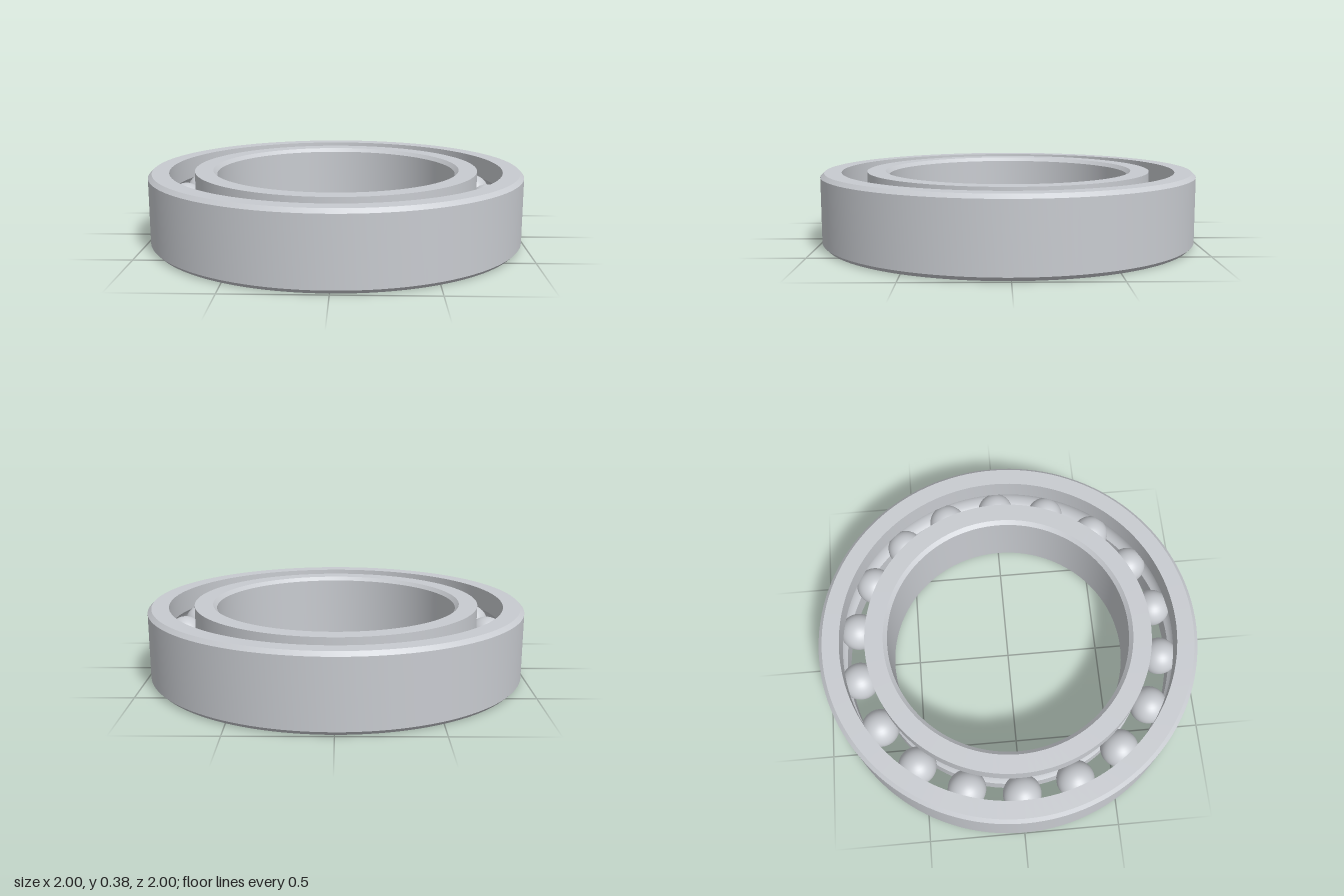
import * as THREE from 'three';
import { toCreasedNormals } from 'three/addons/utils/BufferGeometryUtils.js';

const HEIGHT = 0.385, MID = HEIGHT / 2, CHAMFER = 0.02;
const BORE = 0.64, INNER_LAND = 0.757, OUTER_LAND = 0.89;
const PITCH = (INNER_LAND + OUTER_LAND) / 2, BALL = 0.1, BALLS = 18;

// Ball groove arc, centred on the pitch circle, running upwards or downwards
function groove(landRadius, upwards) {
  const side = Math.sign(landRadius - PITCH);
  const half = Math.acos(Math.abs(landRadius - PITCH) / BALL);
  const points = [];
  for (let i = 0; i <= 10; i++) {
    const a = half * (i / 5 - 1) * (upwards ? 1 : -1);
    points.push([PITCH + side * BALL * Math.cos(a), MID + BALL * Math.sin(a)]);
  }
  return points;
}

// Revolves a closed, counterclockwise (radius, height) profile
function ring(name, profile, material) {
  const points = [...profile, profile[0]].map(([r, y]) => new THREE.Vector2(r, y));
  const geometry = toCreasedNormals(new THREE.LatheGeometry(points, 128), 0.5);
  const mesh = new THREE.Mesh(geometry, material);
  mesh.name = name;
  return mesh;
}

export function createModel() {
  const model = new THREE.Group();
  model.name = 'ballBearing';
  const steel = new THREE.MeshStandardMaterial({ color: 0xc8cbd0 });
  steel.name = 'steel';

  // Outer ring: chamfered outside, grooved inside
  model.add(ring('outerRing', [
    [OUTER_LAND, 0], [1 - CHAMFER, 0], [1, CHAMFER],
    [1, HEIGHT - CHAMFER], [1 - CHAMFER, HEIGHT], [OUTER_LAND, HEIGHT],
    ...groove(OUTER_LAND, false),
  ], steel));

  // Inner ring: chamfered bore, grooved outside
  model.add(ring('innerRing', [
    [BORE + CHAMFER, 0], [INNER_LAND, 0],
    ...groove(INNER_LAND, true),
    [INNER_LAND, HEIGHT], [BORE + CHAMFER, HEIGHT],
    [BORE, HEIGHT - CHAMFER], [BORE, CHAMFER],
  ], steel));

  // Balls evenly spaced around the pitch circle
  const balls = new THREE.Group();
  balls.name = 'balls';
  const ballGeometry = new THREE.SphereGeometry(BALL, 32, 20);
  for (let i = 0; i < BALLS; i++) {
    const a = (i / BALLS) * Math.PI * 2;
    const ball = new THREE.Mesh(ballGeometry, steel);
    ball.name = 'ball';
    ball.position.set(PITCH * Math.cos(a), MID, PITCH * Math.sin(a));
    balls.add(ball);
  }
  model.add(balls);
  return model;
}
